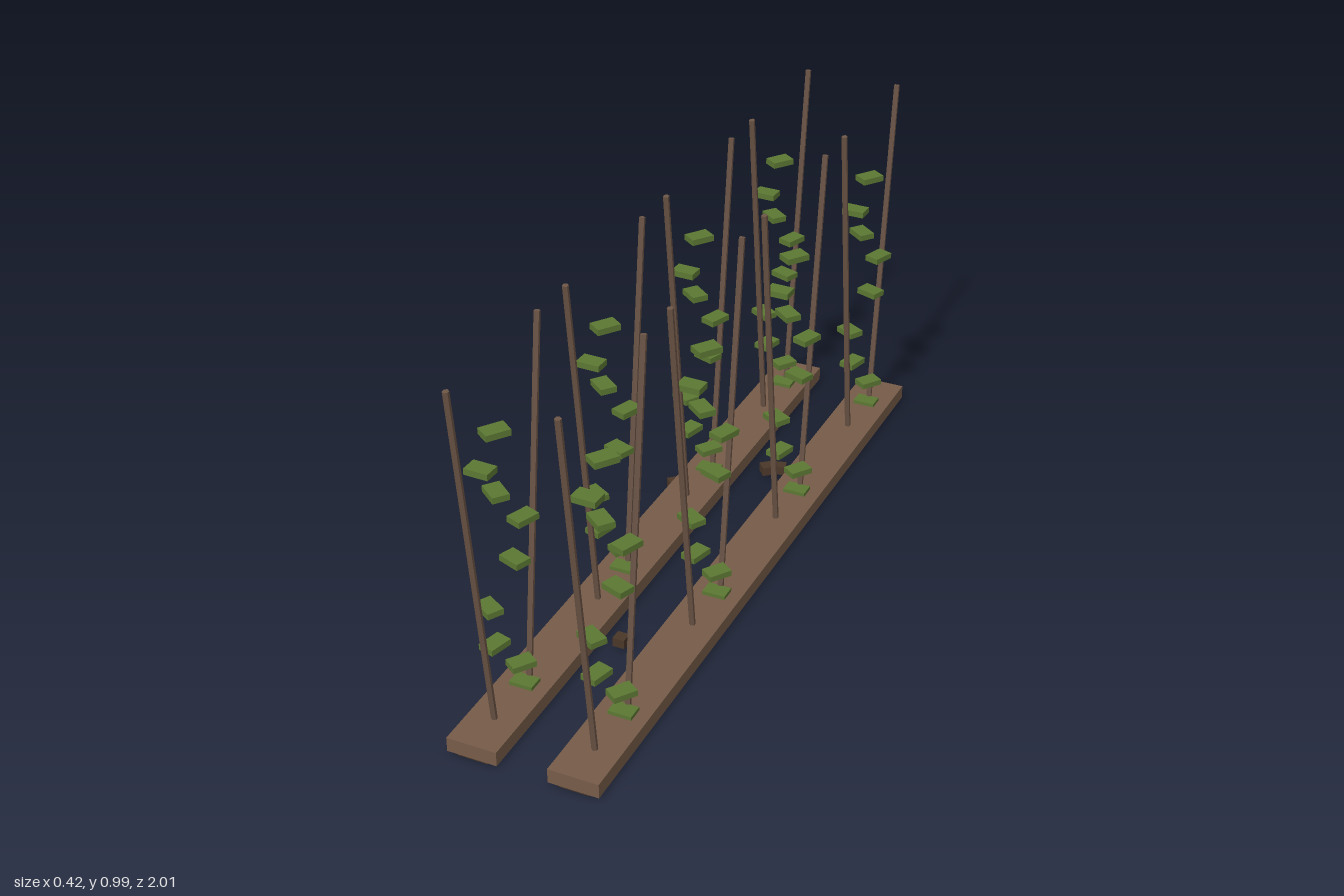
import * as THREE from 'three';

const mat = (name, color) => {
  const m = new THREE.MeshStandardMaterial({ color });
  m.name = name;
  return m;
};

export function createModel() {
  const model = new THREE.Group();
  model.name = 'gardenRows';

  const wood = mat('bedBrown', 0x765c48);
  const stake = mat('stakeBrown', 0x6b5446);
  const soil = mat('darkSoil', 0x4a3628);
  const green = mat('leafGreen', 0x5b7732);

  const add = (parent, name, geo, material, x, y, z, rotY = 0) => {
    const mesh = new THREE.Mesh(geo, material);
    mesh.name = name;
    mesh.position.set(x, y, z);
    mesh.rotation.y = THREE.MathUtils.degToRad(rotY);
    parent.add(mesh);
    return mesh;
  };

  const bedGeo = new THREE.BoxGeometry(0.132, 0.039, 1.985);
  const underGeo = new THREE.BoxGeometry(0.079, 0.02, 1.98);
  const leafGeo = new THREE.BoxGeometry(0.062, 0.016, 0.043);

  // Stake leaning outwards along z
  const bottom = new THREE.Vector2(0.083, 0.025); // z, y
  const top = new THREE.Vector2(0.199, 0.99);
  const lean = top.clone().sub(bottom);
  const stakeGeo = new THREE.CylinderGeometry(0.008, 0.008, lean.length(), 6).toNonIndexed();
  stakeGeo.computeVertexNormals();

  // Leaves from the ground up: x, z, turn in degrees
  const leaves = [
    [0, -0.062, 0],
    [0.02, -0.017, 55],
    [-0.005, 0.055, 75],
    [-0.018, 0.05, -30],
    [0.011, -0.028, -20],
    [0.017, -0.063, 70],
    [-0.013, 0, -38],
    [-0.011, 0.063, -2],
    [0.018, 0.042, 55],
  ];

  const makePlant = () => {
    const plant = new THREE.Group();
    plant.name = 'climbingPlant';
    for (const side of [1, -1]) {
      const pole = add(plant, 'stake', stakeGeo, stake,
        0, (bottom.y + top.y) / 2, side * (bottom.x + top.x) / 2);
      pole.rotation.x = side * Math.atan2(lean.x, lean.y);
    }
    leaves.forEach(([x, z, turn], i) =>
      add(plant, 'leaf', leafGeo, green, x, 0.046 + i * 0.0956, z, turn));
    return plant;
  };

  // Two planted rows
  for (const x of [-0.121, 0.144]) {
    const row = new THREE.Group();
    row.name = 'plantRow';
    row.position.x = x;
    add(row, 'bed', bedGeo, wood, 0, 0.0245, 0);
    add(row, 'bedUnderside', underGeo, soil, 0, 0.01, 0);
    for (let i = 0; i < 4; i++) {
      const plant = makePlant();
      plant.position.z = (i - 1.5) * 0.532;
      row.add(plant);
    }
    model.add(row);
  }

  // Loose clods of earth: x, z, size, turn
  const clods = [
    [0.013, -0.428, 0.034, 40],
    [0.047, -0.445, 0.03, 15],
    [0, 0.462, 0.032, 0],
    [-0.19, -0.247, 0.032, 42],
    [-0.175, 0.08, 0.03, 5],
  ];
  for (const [x, z, size, turn] of clods) {
    add(model, 'clod', new THREE.BoxGeometry(size, 0.025, size), soil, x, 0.024, z, turn);
  }

  return model;
}
